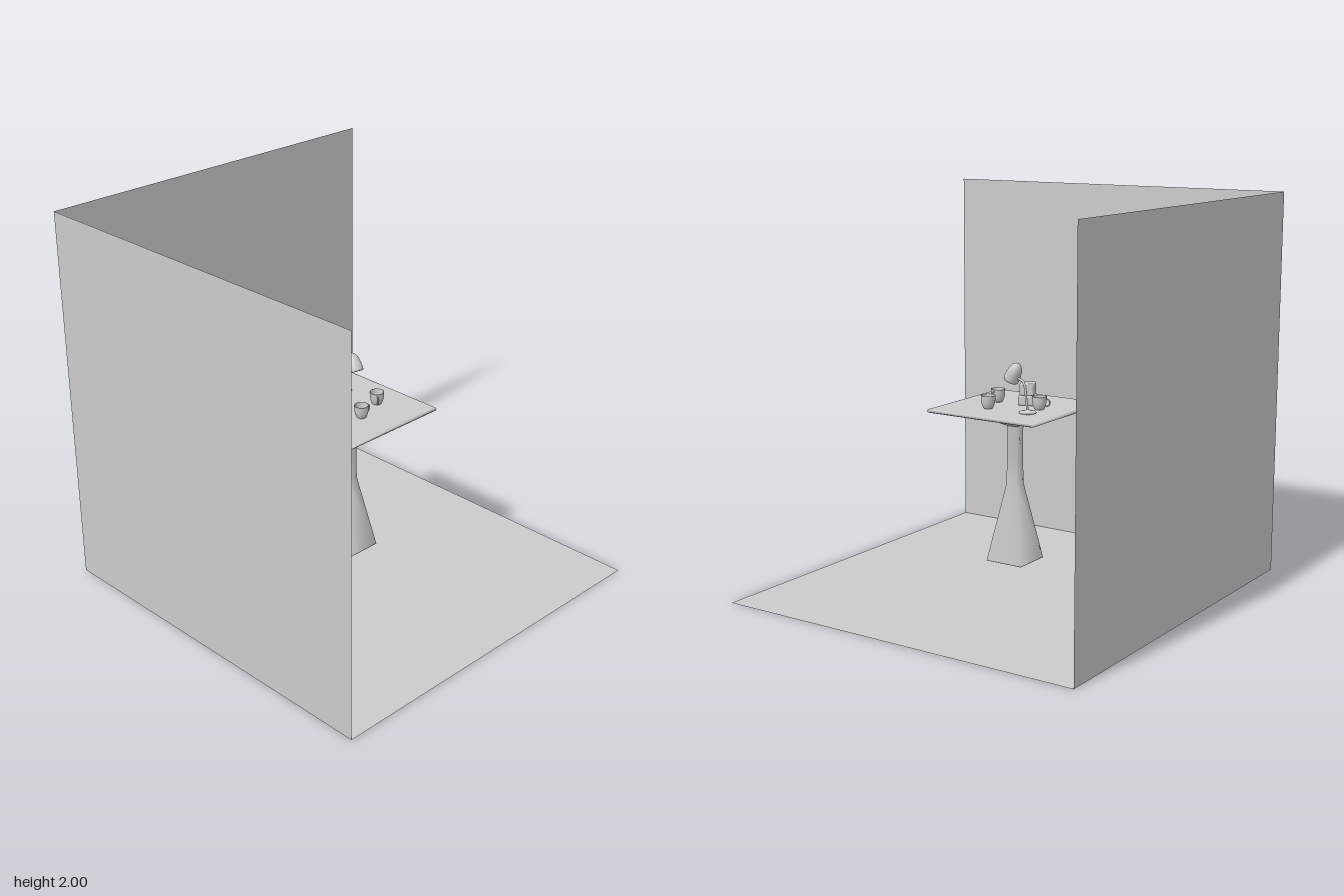
import * as THREE from 'three';
import { RoundedBoxGeometry } from 'three/addons/geometries/RoundedBoxGeometry.js';

const grey = new THREE.MeshStandardMaterial({ color: 0xcccccc });
const thin = new THREE.MeshStandardMaterial({ color: 0xcccccc, side: THREE.DoubleSide });
const TOP = 0.953; // height of the table surface

function add(parent, name, geometry, material = grey) {
  const mesh = new THREE.Mesh(geometry, material);
  mesh.name = name;
  parent.add(mesh);
  return mesh;
}

const points = (pairs) => pairs.map(([x, y]) => new THREE.Vector2(x, y));
const lathe = (pairs, sides = 28) => new THREE.LatheGeometry(points(pairs), sides);

// Square solid from [half width, height] pairs
function squareLathe(pairs) {
  const profile = pairs.map(([half, y]) => new THREE.Vector2(half * Math.SQRT2, y));
  return new THREE.LatheGeometry(profile, 4, Math.PI / 4);
}

// Cup with a wall thickness and a ring handle pointing along its own +x
function makeCup() {
  const cup = new THREE.Group();
  cup.name = 'cup';
  add(cup, 'cupBody', lathe([
    [0, 0], [0.021, 0], [0.024, 0.003], [0.031, 0.018], [0.035, 0.036], [0.037, 0.064],
    [0.0365, 0.067], [0.034, 0.067], [0.033, 0.062], [0.031, 0.036], [0.026, 0.016], [0.019, 0.007], [0, 0.006],
  ]), thin);
  const handle = add(cup, 'cupHandle', new THREE.TorusGeometry(0.018, 0.004, 8, 20, Math.PI * 1.1));
  handle.rotation.z = -Math.PI * 0.55;
  handle.position.set(0.037, 0.037, 0);
  return cup;
}

function makeLamp() {
  const lamp = new THREE.Group();
  lamp.name = 'lamp';
  // Round foot
  const foot = add(lamp, 'lampFoot', lathe([
    [0, 0], [0.042, 0], [0.043, 0.004], [0.04, 0.008], [0.016, 0.012], [0.008, 0.018], [0, 0.02],
  ]));
  foot.position.set(0.123, TOP, -0.185);
  // Bent neck
  const neck = new THREE.CatmullRomCurve3([
    [0.123, 0.96, -0.185], [0.123, 1.02, -0.176], [0.122, 1.07, -0.17],
    [0.119, 1.1, -0.158], [0.114, 1.113, -0.137], [0.108, 1.118, -0.105],
  ].map((p) => new THREE.Vector3(...p)));
  add(lamp, 'lampNeck', new THREE.TubeGeometry(neck, 32, 0.006, 10));
  // Domed shade, open at the bottom
  const shade = add(lamp, 'lampShade', lathe([
    [0.034, 0.003], [0.039, 0], [0.04, 0.012], [0.038, 0.035], [0.034, 0.06],
    [0.027, 0.08], [0.016, 0.093], [0.006, 0.099], [0, 0.1],
  ]), thin);
  shade.position.set(0.102, 1.105, -0.073);
  shade.quaternion.setFromUnitVectors(
    new THREE.Vector3(0, 1, 0), new THREE.Vector3(0.01, 0.083, -0.047).normalize());
  // Bulb inside the shade
  const bulb = add(shade, 'bulb', new THREE.SphereGeometry(0.018, 16, 12));
  bulb.position.y = 0.035;
  return lamp;
}

export function createModel() {
  const model = new THREE.Group();
  model.name = 'tableInRoomCorner';

  // Room: floor, back wall and side wall as thin sheets
  const floor = add(model, 'floor', new THREE.PlaneGeometry(2, 2), thin);
  floor.rotation.x = -Math.PI / 2;
  const backWall = add(model, 'backWall', new THREE.PlaneGeometry(2, 2), thin);
  backWall.position.set(0, 1, -1);
  const sideWall = add(model, 'sideWall', new THREE.PlaneGeometry(2, 2), thin);
  sideWall.position.set(-1, 1, 0);
  sideWall.rotation.y = Math.PI / 2;

  // Square pedestal table: flared foot, slim column, shallow tapered top
  const table = new THREE.Group();
  table.name = 'table';
  table.position.set(0.003, 0, -0.03);
  add(table, 'pedestal', squareLathe([
    [0, 0.15], [0.104, 0.15], [0.104, 0.152], [0.031, 0.55], [0.029, 0.7], [0.03, 0.86],
  ]));
  add(table, 'tableTop', squareLathe([
    [0.028, 0.85], [0.145, 0.914], [0.3, 0.931], [0.313, 0.936], [0.315, 0.942],
    [0.314, 0.95], [0.305, TOP], [0, TOP],
  ]));
  model.add(table);

  // Cups: x, z, handle direction
  for (const [x, z, angle] of [[0.018, -0.185, 1.8], [-0.027, 0.094, 0], [0.137, 0.041, -2.25]]) {
    const cup = makeCup();
    cup.position.set(x, TOP, z);
    cup.rotation.y = angle;
    model.add(cup);
  }

  // Two stacked rounded blocks: size, height, bottom
  for (const [size, height, bottom] of [[0.085, 0.05, TOP], [0.072, 0.061, TOP + 0.05]]) {
    const block = add(model, 'block', new RoundedBoxGeometry(size, height, size, 3, 0.007));
    block.position.set(-0.057, bottom + height / 2, -0.066);
    block.rotation.y = 0.38;
  }

  model.add(makeLamp());
  return model;
}
